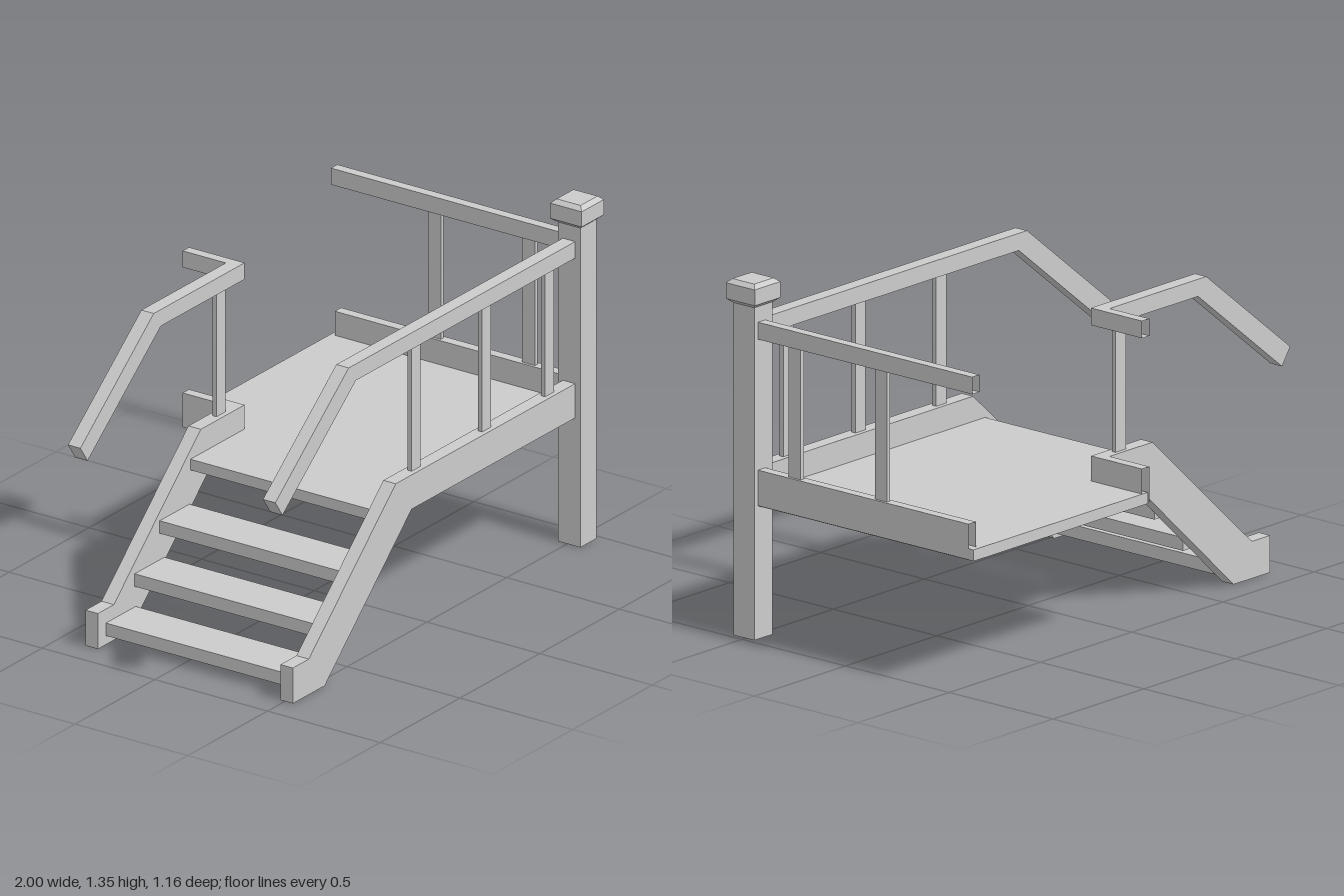
import * as THREE from 'three';

const material = new THREE.MeshStandardMaterial({
  color: 0xcccccc, flatShading: true, side: THREE.DoubleSide,
});

// Straight or bent timber: four-cornered sections joined in order, with optional end caps
function timber(sections, capStart = true, capEnd = true) {
  const points = [];
  const quad = (a, b, c, d) => points.push(...a, ...b, ...c, ...a, ...c, ...d);
  for (let s = 0; s < sections.length - 1; s++) {
    const a = sections[s], b = sections[s + 1];
    for (let i = 0; i < 4; i++) {
      const j = (i + 1) % 4;
      quad(a[i], b[i], b[j], a[j]);
    }
  }
  if (capStart) quad(...sections[0]);
  if (capEnd) quad(...[...sections[sections.length - 1]].reverse());
  const geometry = new THREE.BufferGeometry();
  geometry.setAttribute('position', new THREE.Float32BufferAttribute(points, 3));
  geometry.computeVertexNormals();
  return geometry;
}

// Section of a timber running along x, given its top and bottom points
const acrossZ = ([xt, yt, xb, yb], z0, z1) =>
  [[xt, yt, z1], [xt, yt, z0], [xb, yb, z0], [xb, yb, z1]];

// Section of a timber running along -z
const acrossX = (x0, x1, y0, y1, z0, z1 = z0) =>
  [[x1, y1, z1], [x0, y1, z0], [x0, y0, z0], [x1, y0, z1]];

// Square horizontal section of an upright timber
const level = (x, z, h, y) =>
  [[x + h, y, z - h], [x + h, y, z + h], [x - h, y, z + h], [x - h, y, z - h]];

export function createModel() {
  const model = new THREE.Group();
  const add = (name, geometry) => {
    const mesh = new THREE.Mesh(geometry, material);
    mesh.name = name;
    model.add(mesh);
    return mesh;
  };
  const addBox = (name, x0, x1, y0, y1, z0, z1) =>
    add(name, new THREE.BoxGeometry(x1 - x0, y1 - y0, z1 - z0))
      .position.set((x0 + x1) / 2, (y0 + y1) / 2, (z0 + z1) / 2);

  // Side profiles as [top x, top y, bottom x, bottom y]
  const stringer = [[-0.89, 0.14, -0.89, 0], [-0.79, 0.14, -0.69, 0], [-0.245, 0.64, -0.145, 0.505]];
  const handrail = [[-1, 0.83, -0.955, 0.765], [-0.54, 1.2, -0.495, 1.135]];

  // Front side runs into the post; back side turns a mitred corner and ends open
  for (const [name, profile, y0, y1] of [
    ['Stringer', stringer, 0.505, 0.64],
    ['Handrail', handrail, 1.135, 1.2],
  ]) {
    add('front' + name, timber(
      [...profile, [0.88, y1, 0.88, y0]].map((p) => acrossZ(p, 0.48, 0.535))));
    add('back' + name, timber([
      ...profile.map((p) => acrossZ(p, -0.385, -0.33)),
      acrossX(-0.01, 0.03, y0, y1, -0.385, -0.33),
      acrossX(-0.01, 0.03, y0, y1, -0.577),
    ], true, false));
  }

  // Left side beam and rail, open at the back
  add('sideBeam', timber([acrossX(0.92, 0.96, 0.505, 0.64, 0.46), acrossX(0.92, 0.96, 0.505, 0.64, -0.56)], true, false));
  add('sideRail', timber([acrossX(0.92, 0.96, 1.135, 1.2, 0.46), acrossX(0.92, 0.96, 1.135, 1.2, -0.577)], true, false));

  // Corner post with bevelled cap
  const px = 0.93, pz = 0.508;
  add('cornerPost', timber([level(px, pz, 0.05, 0), level(px, pz, 0.05, 1.26)], false, true));
  add('postCap', timber([[0.052, 1.26], [0.07, 1.275], [0.07, 1.335], [0.053, 1.35]]
    .map(([h, y]) => level(px, pz, h, y))));

  // Platform floor with a notch beside the stairs
  const outline = [[-0.31, -0.5], [0.955, -0.5], [0.955, 0.578], [0, 0.578], [0, 0.345], [-0.31, 0.345]];
  const floor = new THREE.ExtrudeGeometry(
    new THREE.Shape(outline.map(([x, y]) => new THREE.Vector2(x, y))),
    { depth: 0.043, bevelEnabled: false });
  add('floor', floor.rotateX(-Math.PI / 2)).position.y = 0.502;

  // Stair treads
  for (const [x, y] of [[-0.84, 0.035], [-0.66, 0.166], [-0.503, 0.32]])
    addBox('tread', x, x + 0.187, y, y + 0.05, -0.332, 0.482);

  // Thin balusters under the rails
  for (const [x, z] of [[-0.09, 0.507], [0.352, 0.507], [0.747, 0.507], [-0.09, -0.359]])
    addBox('baluster', x - 0.028, x + 0.028, 0.64, 1.135, z - 0.009, z + 0.009);
  for (const z of [0.291, -0.126])
    addBox('sideBaluster', 0.931, 0.949, 0.64, 1.135, z - 0.029, z + 0.029);

  return model;
}
